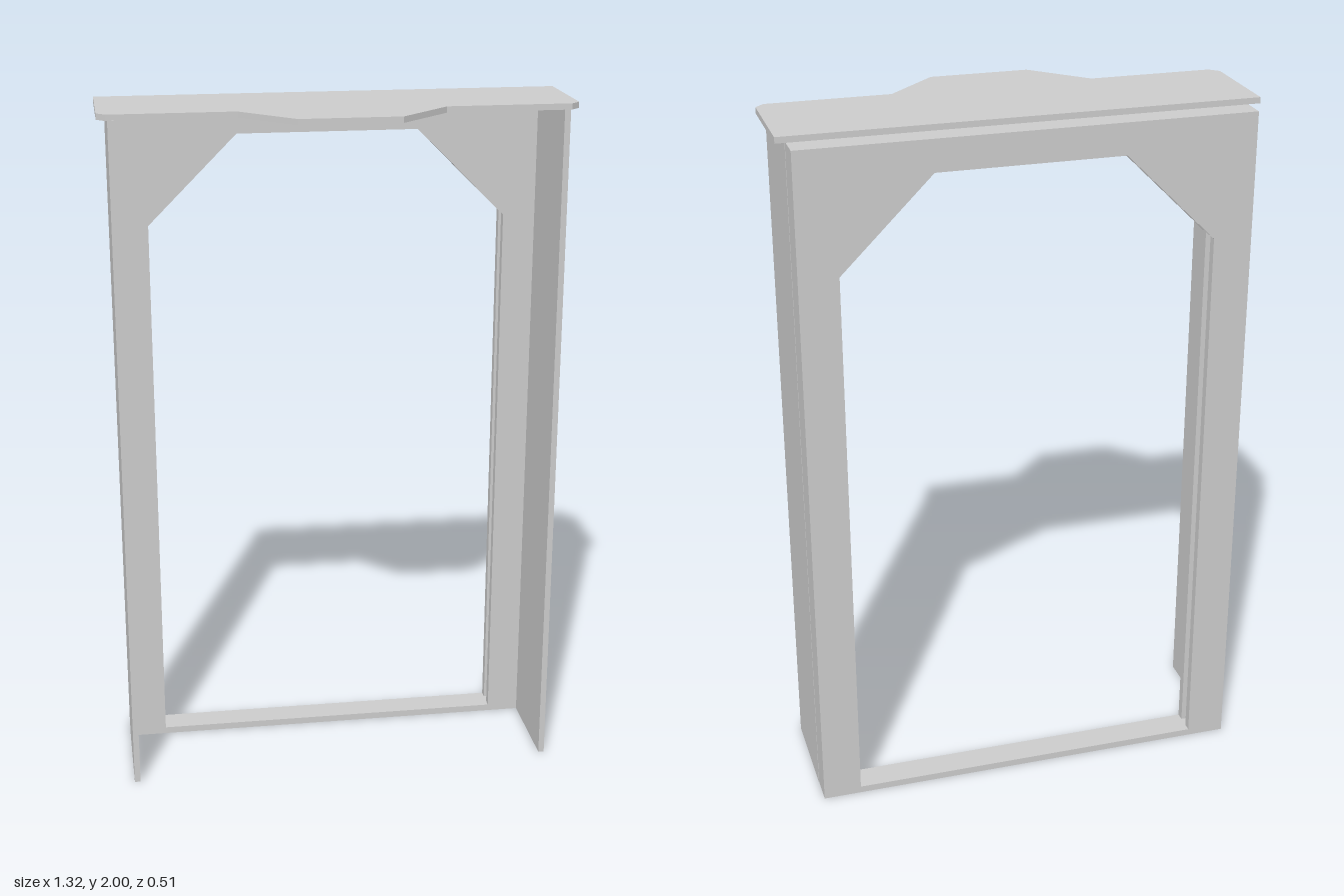
import * as THREE from 'three';

const material = new THREE.MeshStandardMaterial({ color: 0xcccccc, flatShading: true });

// Closed shape from the +x half of a symmetric outline
function mirroredShape(half) {
  const left = half.map(([x, y]) => [-x, y]).reverse();
  return new THREE.Shape([...half, ...left].map(([x, y]) => new THREE.Vector2(x, y)));
}

function add(group, name, geometry, x = 0, y = 0, z = 0) {
  const mesh = new THREE.Mesh(geometry, material);
  mesh.name = name;
  mesh.position.set(x, y, z);
  group.add(mesh);
  return mesh;
}

// Arched door frame layer; inset widens the opening
function frameLayer(inset, depth) {
  const c = inset * 0.414;
  const shape = mirroredShape([
    [0.63, 1.98], [0.63, 0], [0.52 + inset, 0],
    [0.52 + inset, 1.632 + c], [0.262 + c, 1.89 + inset],
  ]);
  return new THREE.ExtrudeGeometry(shape, { depth, bevelEnabled: false });
}

export function createModel() {
  const model = new THREE.Group();
  model.name = 'doorway';

  // Frame: two face plates with a recessed core forming a groove round the opening
  const frame = new THREE.Group();
  frame.name = 'doorFrame';
  model.add(frame);
  add(frame, 'backFacePlate', frameLayer(0, 0.025), 0, 0, -0.258);
  add(frame, 'frameCore', frameLayer(0.02, 0.033), 0, 0, -0.233);
  add(frame, 'frontFacePlate', frameLayer(0, 0.025), 0, 0, -0.2);

  // Threshold strip
  add(frame, 'sill', new THREE.BoxGeometry(1.08, 0.02, 0.083), 0, 0.01, -0.2165);

  // Side walls
  for (const [name, side] of [['leftWall', 1], ['rightWall', -1]]) {
    add(model, name, new THREE.BoxGeometry(0.017, 1.985, 0.29), side * 0.6225, 0.9925, -0.03);
  }

  // Canopy plate with a projecting front
  const canopy = mirroredShape([
    [0.66, 0.197], [0.66, -0.088], [0.635, -0.113],
    [0.285, -0.113], [0.14, -0.256],
  ]);
  const plate = new THREE.ExtrudeGeometry(canopy, { depth: 0.017, bevelEnabled: false });
  plate.rotateX(-Math.PI / 2);
  add(model, 'canopy', plate, 0, 1.983, 0);

  return model;
}
